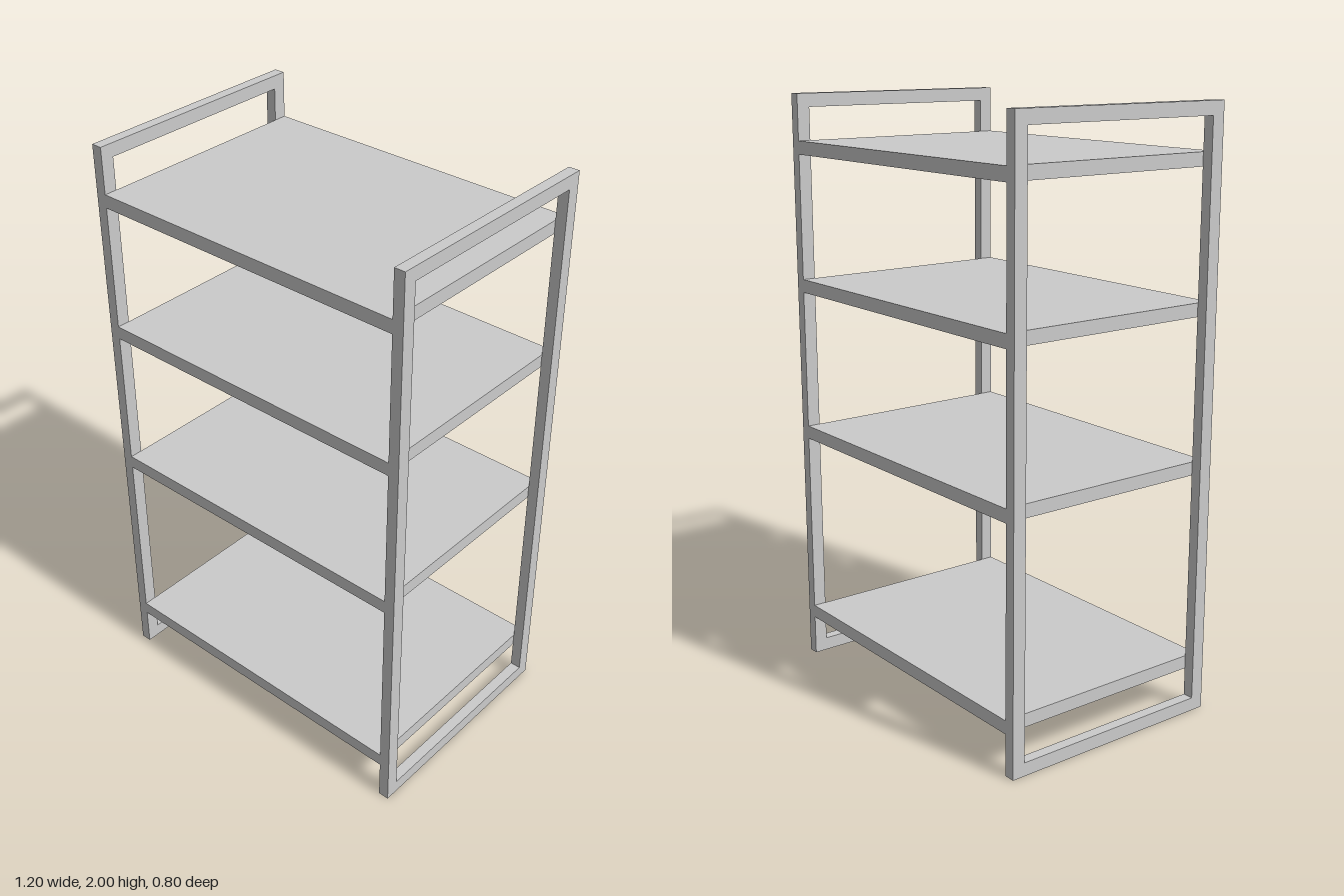
import * as THREE from 'three';

const HEIGHT = 2, DEPTH = 0.804, HALF_WIDTH = 0.6;
const FRAME_X = 0.037; // frame thickness across the width
const BAR = 0.045;     // frame bar width and shelf thickness

export function createModel() {
  const model = new THREE.Group();
  model.name = 'shelvingUnit';
  const material = new THREE.MeshStandardMaterial({ color: 0xcccccc, flatShading: true });

  // Side frames: an upright rectangle with a rectangular opening
  const rect = (Type, w, y0, y1) => new Type([
    new THREE.Vector2(-w, y0), new THREE.Vector2(w, y0),
    new THREE.Vector2(w, y1), new THREE.Vector2(-w, y1),
  ]);
  const outline = rect(THREE.Shape, DEPTH / 2, 0, HEIGHT);
  outline.holes.push(rect(THREE.Path, DEPTH / 2 - BAR, BAR, HEIGHT - BAR));
  const frameGeometry = new THREE.ExtrudeGeometry(outline, { depth: FRAME_X, bevelEnabled: false });
  frameGeometry.translate(0, 0, -FRAME_X / 2).rotateY(Math.PI / 2);

  for (const [name, side] of [['leftFrame', 1], ['rightFrame', -1]]) {
    const frame = new THREE.Mesh(frameGeometry, material);
    frame.name = name;
    frame.position.x = side * (HALF_WIDTH - FRAME_X / 2);
    model.add(frame);
  }

  // Shelves fitted between the frames, flush front and back
  const shelfGeometry = new THREE.BoxGeometry(2 * (HALF_WIDTH - FRAME_X), BAR, DEPTH);
  [0.162, 0.837, 1.356, 1.823].forEach((y, i) => {
    const shelf = new THREE.Mesh(shelfGeometry, material);
    shelf.name = `shelf${i + 1}`;
    shelf.position.y = y;
    model.add(shelf);
  });

  return model;
}
